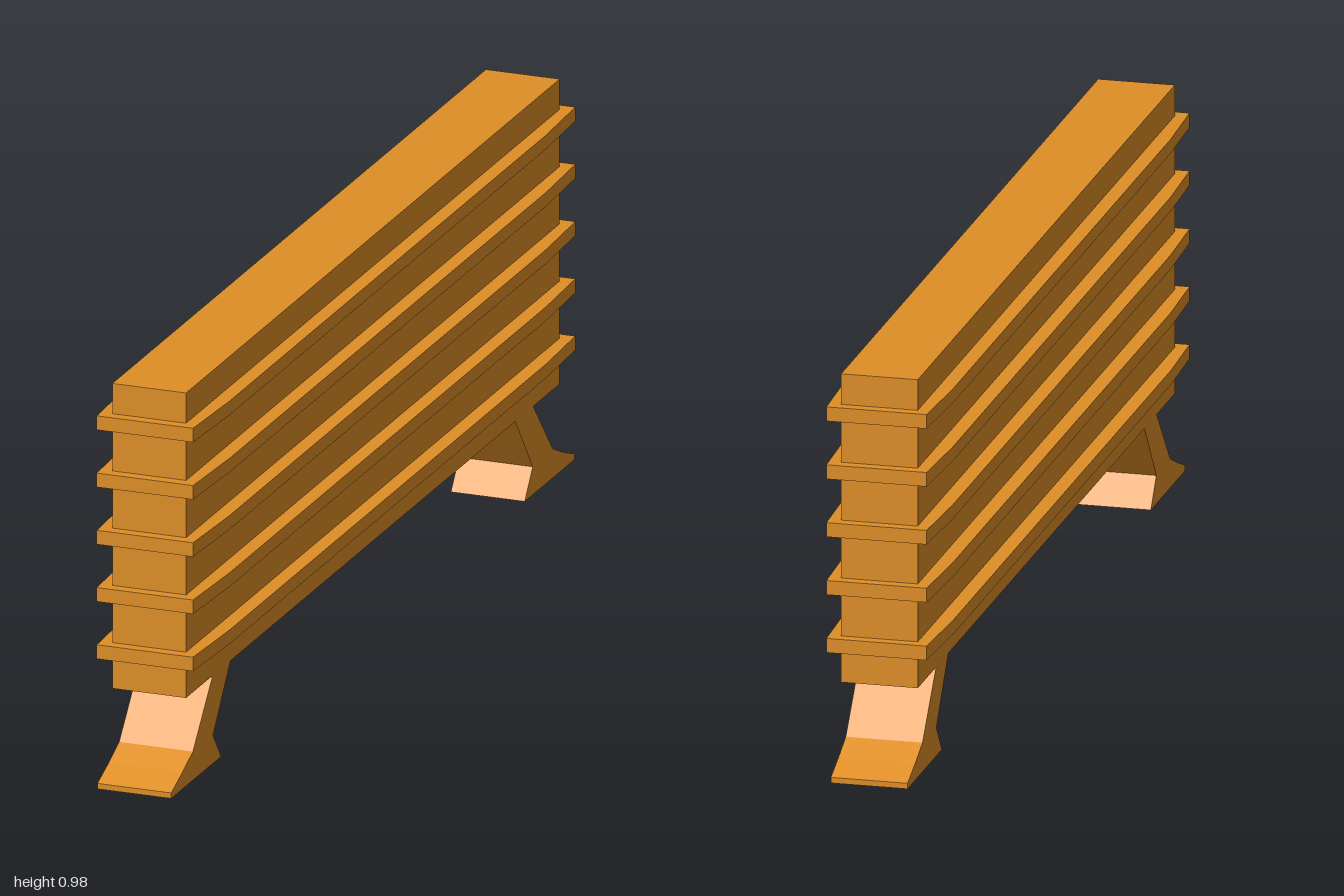
import * as THREE from 'three';

const material = new THREE.MeshStandardMaterial({ color: 0xe08f27, flatShading: true });

function addMesh(parent, geometry, name) {
  const mesh = new THREE.Mesh(geometry, material);
  mesh.name = name;
  parent.add(mesh);
  return mesh;
}

// Extrude a flat outline symmetrically about z = 0
function extrudeCentred(points, depth) {
  const shape = new THREE.Shape(points.map(([x, y]) => new THREE.Vector2(x, y)));
  const geometry = new THREE.ExtrudeGeometry(shape, { depth, bevelEnabled: false });
  return geometry.translate(0, 0, -depth / 2);
}

export function createModel() {
  const model = new THREE.Group();
  model.name = 'barrier';

  // The whole barrier stands diagonally
  const barrier = new THREE.Group();
  barrier.name = 'diagonalBarrier';
  barrier.rotation.y = 0.801;
  model.add(barrier);

  const width = 0.187;

  // Solid wall panel
  const panel = addMesh(barrier, new THREE.BoxGeometry(2.408, 0.762, width), 'panel');
  panel.position.y = 0.601;

  // Five protruding slats, slightly narrower at their ends
  const slatOutline = [
    [1.232, -0.122], [1.232, 0.122], [1.02, 0.131],
    [-1.02, 0.131], [-1.232, 0.122], [-1.232, -0.122],
    [-1.02, -0.131], [1.02, -0.131],
  ];
  const slatGeometry = extrudeCentred(slatOutline, 0.035).rotateX(-Math.PI / 2);
  for (let i = 0; i < 5; i++) {
    const slat = addMesh(barrier, slatGeometry, `slat${i + 1}`);
    slat.position.y = 0.317 + i * 0.143;
  }

  // Splayed feet with a flared toe and a short heel
  const footOutline = [
    [0.918, 0.22], [1.03, 0.07], [0.978, 0], [1.3, 0],
    [1.3, 0.014], [1.227, 0.042], [1.16, 0.072], [1.033, 0.22],
  ];
  const footGeometry = extrudeCentred(footOutline, width);
  addMesh(barrier, footGeometry, 'leftFoot');
  addMesh(barrier, footGeometry, 'rightFoot').rotation.y = Math.PI;

  return model;
}
